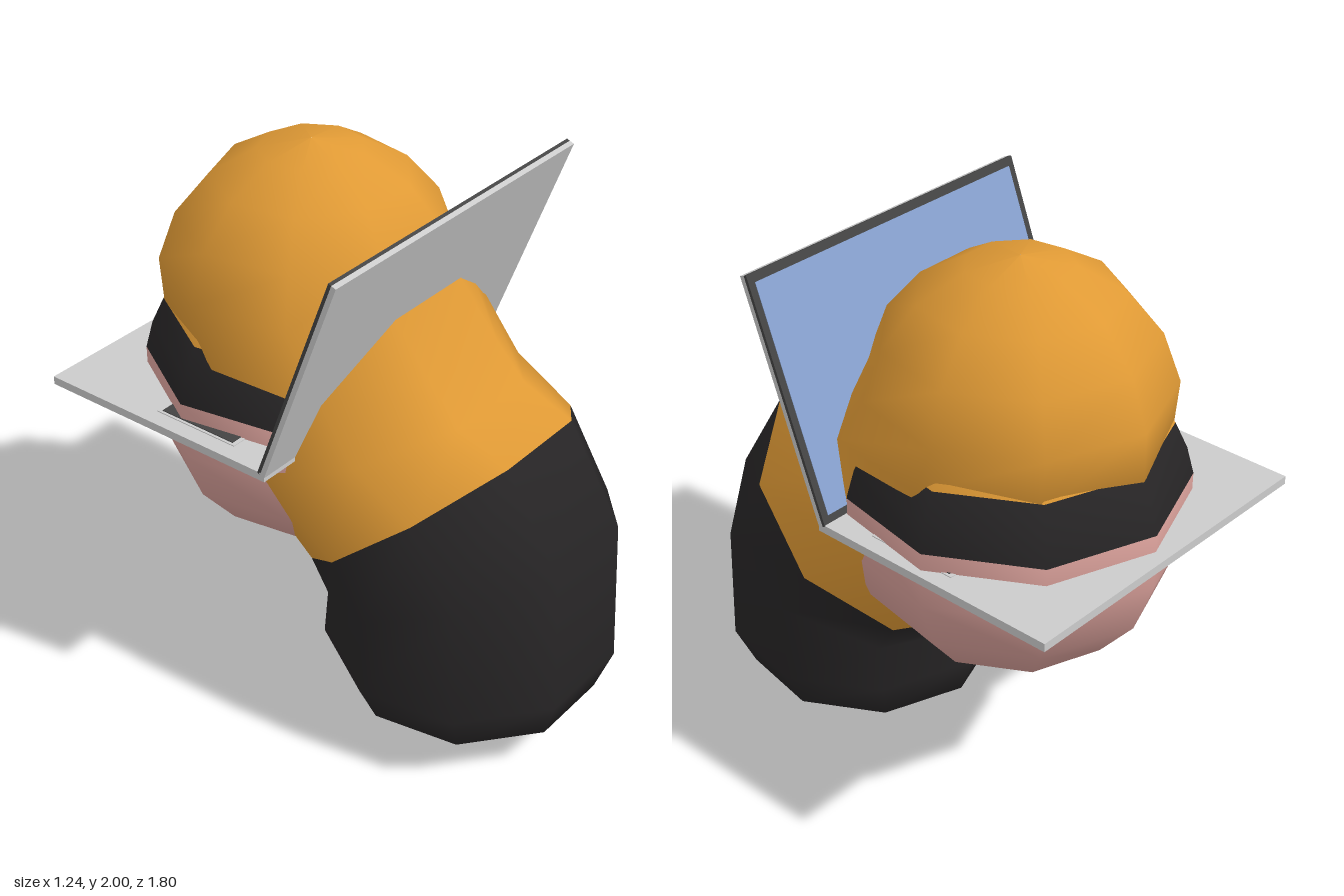
import * as THREE from 'three';

const SIDES = 9, CX = 0.022;
const rad = THREE.MathUtils.degToRad;
const mat = (color) => new THREE.MeshStandardMaterial({ color, roughness: 0.9 });
const GREY = mat(0xcccccc), ORANGE = mat(0xe09a35), BLACK = mat(0x272526),
  PINK = mat(0xd9a09a), DARK = mat(0x444444), BLUE = mat(0x88a2d0);

function add(parent, name, geometry, material, x = 0, y = 0, z = 0) {
  const mesh = new THREE.Mesh(geometry, material);
  mesh.name = name;
  mesh.position.set(x, y, z);
  parent.add(mesh);
  return mesh;
}

// Skin over tilted nine-sided rings: [y, z, half width, tilt in degrees, half depth]
function loft(rings) {
  const pos = [], index = [];
  for (const [y, z, r, tilt = 0, depth = r] of rings) {
    for (let i = 0; i < SIDES; i++) {
      const a = rad(180 + i * 360 / SIDES), d = depth * Math.cos(a);
      pos.push(r * Math.sin(a), y + d * Math.sin(rad(tilt)), z + d * Math.cos(rad(tilt)));
    }
  }
  for (let j = 0; j < rings.length - 1; j++) {
    for (let i = 0; i < SIDES; i++) {
      const a = j * SIDES + i, b = j * SIDES + (i + 1) % SIDES;
      index.push(a, b, b + SIDES, a, b + SIDES, a + SIDES);
    }
  }
  const g = new THREE.BufferGeometry();
  g.setAttribute('position', new THREE.Float32BufferAttribute(pos, 3));
  g.setIndex(index);
  g.computeVertexNormals();
  return g;
}

// Rows of one lofted skin, keeping the shared normals
function rows(g, from, to) {
  const part = g.clone();
  const n = SIDES * 6;
  part.setIndex(Array.from(g.index.array.slice(from * n, to * n)));
  return part;
}

export function createModel() {
  const root = new THREE.Group();
  root.name = 'hunchedFigureWithLaptop';

  // Bent body: dark lower half, orange shoulders and rounded hood
  const rings = [
    [0, 0.425, 0.1], [0.04, 0.428, 0.257], [0.17, 0.425, 0.45],
    [0.325, 0.425, 0.526, 0, 0.508], [0.66, 0.424, 0.526, 23.3],
    [0.875, 0.292, 0.526, 40],
    [1.06, 0.03, 0.526, 25],
    [1.383, -0.192, 0.518, 0, 0.598],
  ];
  for (const t of [80, 60, 40, 20, 0.1]) {
    rings.push([1.474 + 0.526 * Math.cos(rad(t)), -0.27, 0.526 * Math.sin(rad(t))]);
  }
  const skin = loft(rings);
  add(root, 'lowerBody', rows(skin, 0, 5), BLACK, CX);
  add(root, 'shouldersAndHood', rows(skin, 5, rings.length - 1), ORANGE, CX);
  add(root, 'bottomCap', new THREE.CircleGeometry(0.1, 18).rotateX(Math.PI / 2), DARK, CX, 0, 0.425);

  // Face ball with a dark headband row above it
  const ball = (start, length, steps) => new THREE.SphereGeometry(
    0.588, SIDES, steps, -Math.PI / 2, Math.PI * 2, rad(start), rad(length));
  add(root, 'face', ball(80, 100, 5), PINK, CX, 1.118, -0.272);
  add(root, 'headband', ball(60, 20, 1), BLACK, CX, 1.118, -0.272);
  add(root, 'crown', ball(0, 60, 3), ORANGE, CX, 1.118, -0.272);

  // Laptop base with a framed keyboard
  const laptop = new THREE.Group();
  laptop.name = 'laptop';
  root.add(laptop);
  add(laptop, 'laptopBase', new THREE.BoxGeometry(1.24, 0.03, 0.95), GREY, 0, 1.144, -0.425);
  add(laptop, 'keyboardFrame', new THREE.BoxGeometry(1.12, 0.004, 0.34), GREY, 0, 1.16, -0.3);
  add(laptop, 'keyboard', new THREE.BoxGeometry(1.1, 0.004, 0.31), DARK, 0, 1.163, -0.3);

  // Tilted lid: shell, bezel and screen
  const lid = new THREE.Group();
  lid.name = 'laptopLid';
  lid.position.set(0, 1.15, 0.036);
  lid.rotation.x = rad(21);
  laptop.add(lid);
  add(lid, 'lidShell', new THREE.BoxGeometry(1.24, 0.85, 0.018), GREY, 0, 0.425, 0.006);
  add(lid, 'bezel', new THREE.BoxGeometry(1.24, 0.85, 0.012), DARK, 0, 0.425, -0.009);
  add(lid, 'screen', new THREE.BoxGeometry(1.19, 0.79, 0.003), BLUE, 0, 0.425, -0.0155);

  return root;
}
